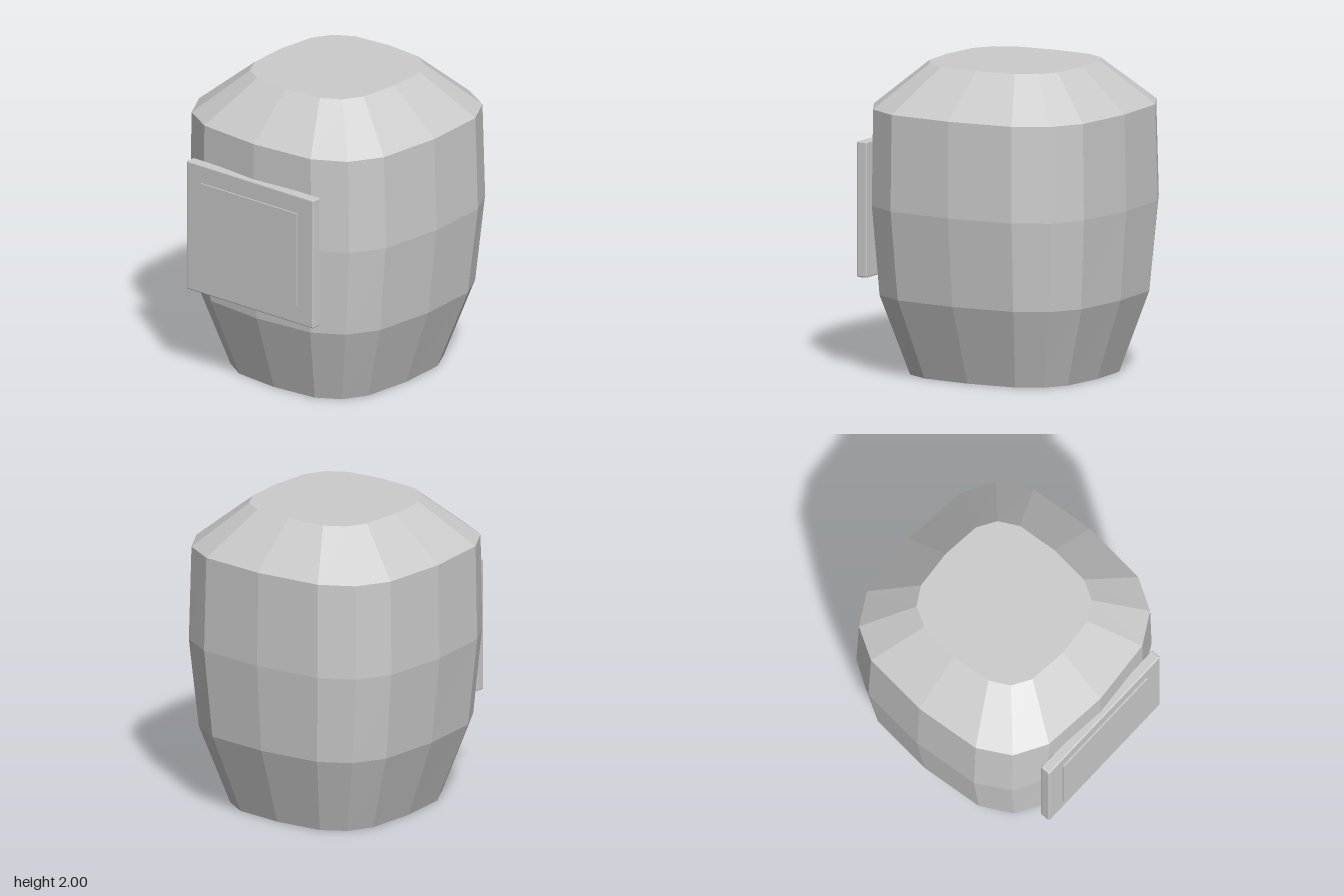
import * as THREE from 'three';
import { RoundedBoxGeometry } from 'three/addons/geometries/RoundedBoxGeometry.js';

const SIDES = 16;

// Squarish rounded ring: a superellipse sampled at equal angles
function ring({ y, rx, rz, z }) {
  const soft = (v) => Math.sign(v) * Math.pow(Math.abs(v), 0.63);
  return Array.from({ length: SIDES }, (_, i) => {
    const a = (i / SIDES) * Math.PI * 2;
    return [rx * soft(Math.sin(a)), y, z + rz * soft(Math.cos(a))];
  });
}

// Joins the rings from bottom to top and closes only the top
function shellGeometry(sections) {
  const points = sections.flatMap(ring);
  const faces = [];
  for (let r = 0; r < sections.length - 1; r++) {
    for (let i = 0; i < SIDES; i++) {
      const j = (i + 1) % SIDES;
      const a = r * SIDES + i, b = r * SIDES + j;
      faces.push(a, b, b + SIDES, a, b + SIDES, a + SIDES);
    }
  }
  const top = (sections.length - 1) * SIDES;
  for (let i = 1; i < SIDES - 1; i++) faces.push(top, top + i, top + i + 1);

  const geometry = new THREE.BufferGeometry();
  geometry.setAttribute('position', new THREE.Float32BufferAttribute(points.flat(), 3));
  geometry.setIndex(faces);
  geometry.computeVertexNormals();
  return geometry;
}

export function createModel() {
  const model = new THREE.Group();
  model.name = 'mask';
  const material = new THREE.MeshStandardMaterial({
    color: 0xcccccc, flatShading: true, side: THREE.DoubleSide,
  });
  const add = (name, geometry, x = 0, y = 0, z = 0) => {
    const mesh = new THREE.Mesh(geometry, material);
    mesh.name = name;
    mesh.position.set(x, y, z);
    model.add(mesh);
  };

  // Faceted shell, open underneath
  add('shell', shellGeometry([
    { y: 0, rx: 0.58, rz: 0.615, z: -0.017 },
    { y: 0.52, rx: 0.765, rz: 0.785, z: -0.017 },
    { y: 1.1, rx: 0.83, rz: 0.823, z: -0.022 },
    { y: 1.72, rx: 0.815, rz: 0.815, z: -0.017 },
    { y: 2, rx: 0.48, rz: 0.5, z: -0.02 },
  ]));

  // Chamfered frame with a raised window on the front
  add('windowFrame', new RoundedBoxGeometry(1.06, 0.875, 0.072, 1, 0.008), 0, 1.043, 0.799);
  add('window', new THREE.BoxGeometry(0.8, 0.635, 0.035), 0, 1.043, 0.8275);

  return model;
}
